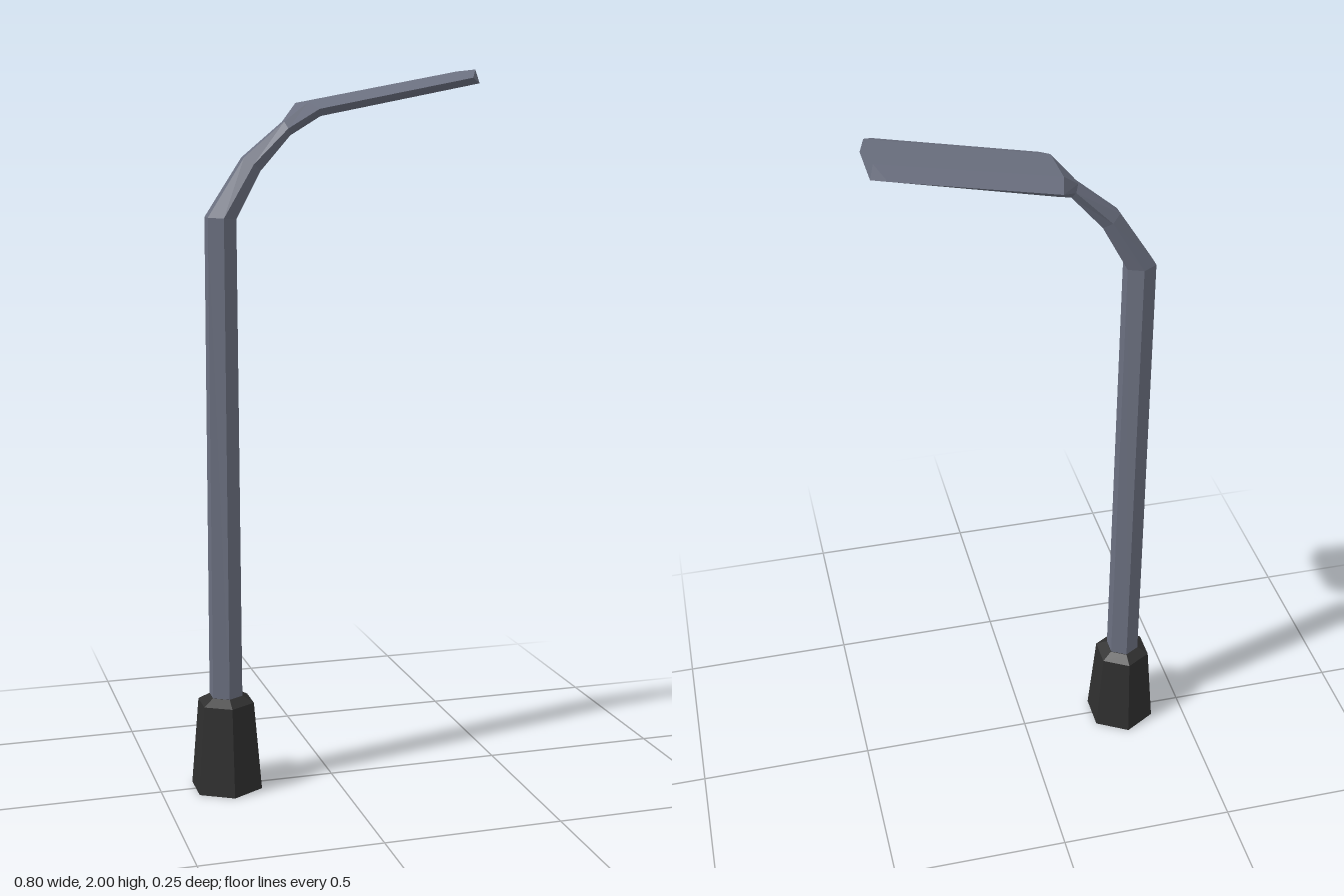
import * as THREE from 'three';

const material = (name, color) =>
  Object.assign(new THREE.MeshStandardMaterial({ color, flatShading: true }), { name });

// Six-sided ring, mirrored in z: outer/top pair, side pair, inner/bottom pair
const ring = ([tx, ty, tz], [sx, sy, sz], [bx, by, bz]) => [
  [sx, sy, sz], [tx, ty, tz], [tx, ty, -tz],
  [sx, sy, -sz], [bx, by, -bz], [bx, by, bz],
];

function meshFrom(name, triangles, mat) {
  const geometry = new THREE.BufferGeometry();
  geometry.setAttribute('position', new THREE.Float32BufferAttribute(triangles.flat(), 3));
  geometry.computeVertexNormals();
  const mesh = new THREE.Mesh(geometry, mat);
  mesh.name = name;
  return mesh;
}

// Quads between neighbouring rings, for the chosen sides
function loft(rings, sides = [0, 1, 2, 3, 4, 5]) {
  const out = [];
  for (let i = 0; i < rings.length - 1; i++) {
    for (const j of sides) {
      const k = (j + 1) % 6;
      const a = rings[i][j], b = rings[i][k], c = rings[i + 1][k], d = rings[i + 1][j];
      out.push(a, d, c, a, c, b);
    }
  }
  return out;
}

export function createModel() {
  const group = new THREE.Group();
  group.name = 'streetLamp';
  const metal = material('blueGreyMetal', 0x6b7080);
  const dark = material('darkBase', 0x2f2f2f);
  const amber = material('amberLight', 0xbd7a14);

  // Base: tapered hexagonal foot with a bevelled cap
  const addFoot = (name, top, bottom, y0, y1) => {
    const mesh = new THREE.Mesh(new THREE.CylinderGeometry(top, bottom, y1 - y0, 6), dark);
    mesh.position.set(-0.31, (y0 + y1) / 2, 0);
    mesh.name = name;
    group.add(mesh);
  };
  addFoot('foot', 0.082, 0.104, 0, 0.252);
  addFoot('footCap', 0.05, 0.082, 0.252, 0.27);

  // Pole and curved neck
  const neckEnd = ring([-0.135, 1.86, 0.012], [-0.127, 1.842, 0.026], [-0.118, 1.824, 0.012]);
  const pole = [
    ring([-0.352, 0.26, 0.024], [-0.31, 0.26, 0.048], [-0.268, 0.26, 0.024]),
    ring([-0.349, 1.608, 0.022], [-0.31, 1.606, 0.044], [-0.271, 1.603, 0.022]),
    ring([-0.247, 1.766, 0.016], [-0.224, 1.748, 0.033], [-0.202, 1.73, 0.016]),
    neckEnd,
  ];
  group.add(meshFrom('pole', loft(pole), metal));

  // Lamp head: flared shoulder, flat body and pointed-corner end
  const near = ring([-0.083, 1.911, 0.066], [-0.068, 1.892, 0.125], [-0.057, 1.874, 0.095]);
  const far = ring([0.386, 2, 0.072], [0.36, 1.976, 0.125], [0.396, 1.963, 0.08]);
  const endCap = [0, 5, 1, 1, 5, 4, 1, 4, 2, 2, 4, 3].map((i) => far[i]);
  group.add(meshFrom('lampHead', [
    ...loft([neckEnd, near]),
    ...loft([near, far], [0, 1, 2, 3, 5]),
    ...endCap,
  ], metal));

  // Light panel fills the underside of the head
  group.add(meshFrom('lightPanel', loft([near, far], [4]), amber));

  return group;
}
